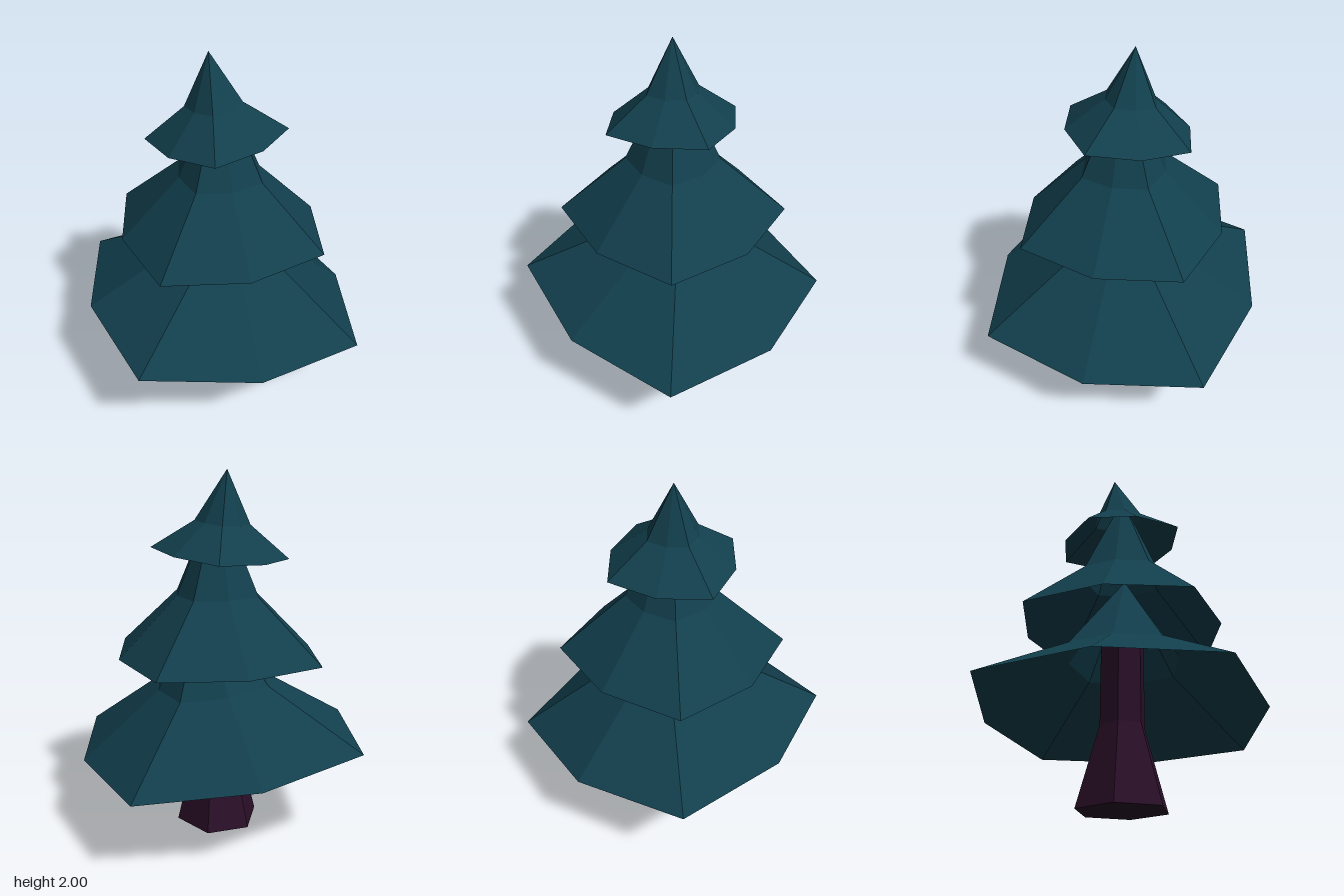
import * as THREE from 'three';

const foliageGreen = new THREE.MeshStandardMaterial({ color: 0x123f4d, flatShading: true, side: THREE.DoubleSide });
const barkPurple = new THREE.MeshStandardMaterial({ color: 0x2a0f28, flatShading: true });
foliageGreen.name = 'foliageGreen';
barkPurple.name = 'barkPurple';

// Joins stacked rings of points (bottom to top) with flat faces
function loft(rings) {
  const pos = [];
  const n = rings[0].length;
  for (let r = 0; r < rings.length - 1; r++) {
    for (let i = 0; i < n; i++) {
      const j = (i + 1) % n;
      const [p, q, u, v] = [rings[r][i], rings[r][j], rings[r + 1][i], rings[r + 1][j]];
      pos.push(...p, ...u, ...q, ...q, ...u, ...v);
    }
  }
  const geometry = new THREE.BufferGeometry();
  geometry.setAttribute('position', new THREE.Float32BufferAttribute(pos, 3));
  geometry.computeVertexNormals();
  return geometry;
}

// One ring; every second point is pulled in by "inset"
function ring(sides, y, rx, rz = rx, spin = 0, inset = 1) {
  return Array.from({ length: sides }, (_, i) => {
    const a = spin + (i / sides) * Math.PI * 2;
    const k = i % 2 ? inset : 1;
    return [Math.cos(a) * rx * k, y, Math.sin(a) * rz * k];
  });
}

// Flared, open-bottomed skirt of branches: rim, neck and tip
function makeTier({ name, position, tilt = [0, 0], spin = Math.PI / 4, rim, neck, neckY, tipY }) {
  const layers = [[0, rim], [neckY, neck], [tipY, 0]];
  const mesh = new THREE.Mesh(
    loft(layers.map(([y, r]) => ring(8, y, r, r, spin, 0.88))),
    foliageGreen
  );
  mesh.name = name;
  mesh.position.set(...position);
  mesh.rotation.set(tilt[0], 0, tilt[1]);
  return mesh;
}

export function createModel() {
  const tree = new THREE.Group();
  tree.name = 'tree';

  // Six-sided trunk, flared at the foot, with a closed base
  const trunk = new THREE.Mesh(
    loft([
      ring(6, 0, 0),
      ring(6, 0, 0.238, 0.254),
      ring(6, 0.44, 0.13, 0.127),
      ring(6, 0.98, 0.125, 0.125),
      ring(6, 0.98, 0),
    ]),
    barkPurple
  );
  trunk.name = 'trunk';
  tree.add(trunk);

  // Three skirts of foliage, the lower and upper ones leaning
  tree.add(
    makeTier({
      name: 'lowerFoliage', position: [0, 0.507, 0], tilt: [0, -0.087],
      rim: 0.877, neck: 0.353, neckY: 0.33, tipY: 0.85,
    }),
    makeTier({
      name: 'middleFoliage', position: [0, 1.003, 0],
      rim: 0.628, neck: 0.255, neckY: 0.335, tipY: 0.88,
    }),
    makeTier({
      name: 'upperFoliage', position: [-0.013, 1.56, -0.014], tilt: [-0.06, 0.07], spin: 0.305,
      rim: 0.376, neck: 0.15, neckY: 0.165, tipY: 0.442,
    })
  );
  return tree;
}
